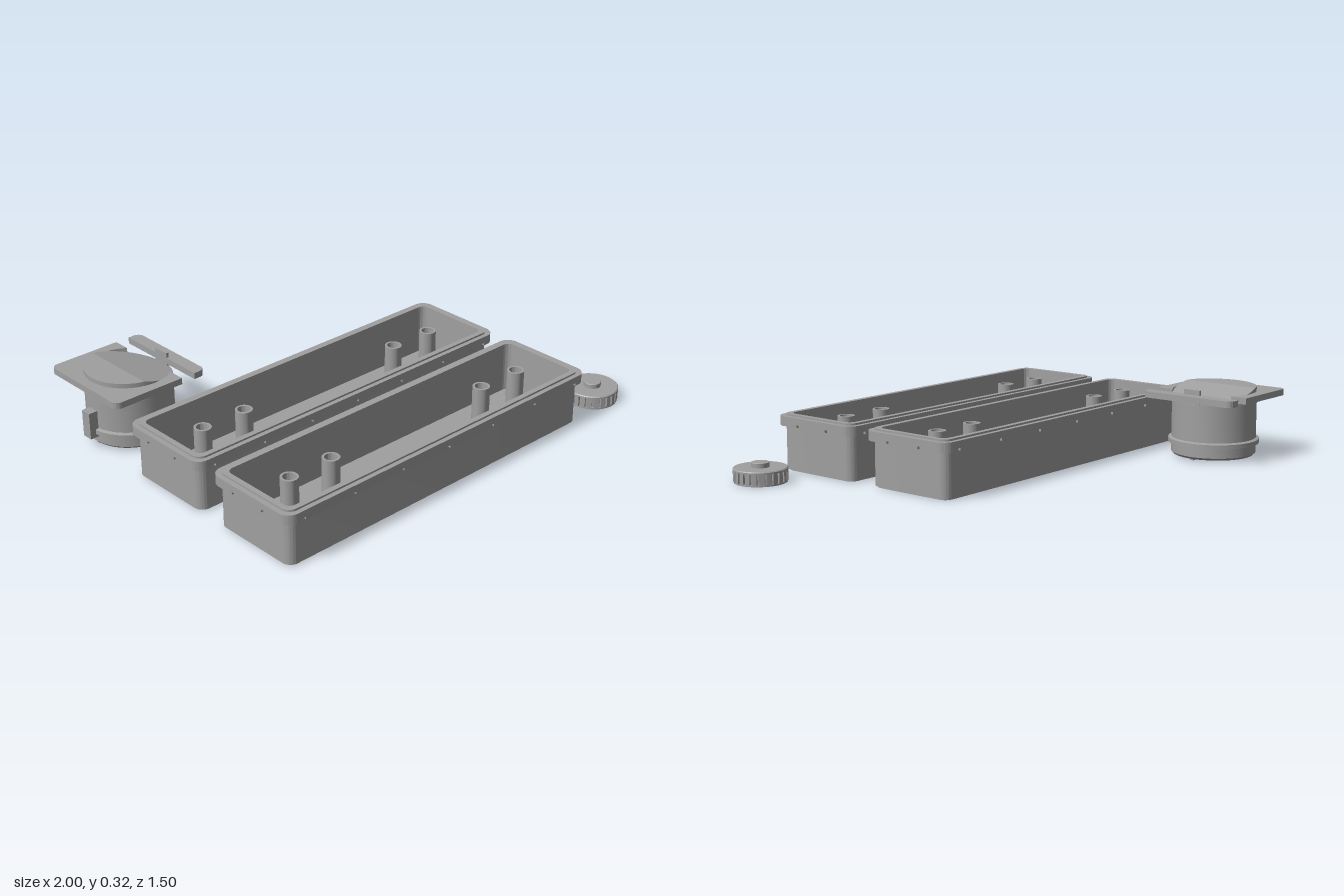
import * as THREE from 'three';
import { toCreasedNormals } from 'three/addons/utils/BufferGeometryUtils.js';

const grey = new THREE.MeshStandardMaterial({ color: 0xa0a0a0 });
grey.name = 'grey plastic';

function add(parent, name, geometry, x = 0, y = 0, z = 0) {
  const mesh = new THREE.Mesh(geometry, grey);
  mesh.name = name;
  mesh.position.set(x, y, z);
  parent.add(mesh);
  return mesh;
}

// Extrudes a plan shape upwards from y0 to y1
function slab(shape, y0, y1) {
  const g = new THREE.ExtrudeGeometry(shape, { depth: y1 - y0, bevelEnabled: false, curveSegments: 24 });
  g.rotateX(-Math.PI / 2);
  g.translate(0, y0, 0);
  return toCreasedNormals(g, 0.6);
}

// Rounded rectangle of half sizes a, b; square notches may be cut at given offsets
function roundRect(a, b, r, notchX = [], notchY = [], C = THREE.Shape) {
  const s = new C(), w = 0.01, d = 0.012;
  s.moveTo(-a + r, -b);
  for (const n of notchX) s.lineTo(n - w, -b).lineTo(n - w, -b + d).lineTo(n + w, -b + d).lineTo(n + w, -b);
  s.lineTo(a - r, -b).absarc(a - r, -b + r, r, -Math.PI / 2, 0);
  for (const n of notchY) s.lineTo(a, n - w).lineTo(a - d, n - w).lineTo(a - d, n + w).lineTo(a, n + w);
  s.lineTo(a, b - r).absarc(a - r, b - r, r, 0, Math.PI / 2);
  for (const n of [...notchX].reverse()) s.lineTo(n + w, b).lineTo(n + w, b - d).lineTo(n - w, b - d).lineTo(n - w, b);
  s.lineTo(-a + r, b).absarc(-a + r, b - r, r, Math.PI / 2, Math.PI);
  for (const n of [...notchY].reverse()) s.lineTo(-a, n + w).lineTo(-a + d, n + w).lineTo(-a + d, n - w).lineTo(-a, n - w);
  s.lineTo(-a, -b + r).absarc(-a + r, -b + r, r, Math.PI, Math.PI * 1.5);
  return s;
}

function circle(x, y, r, C = THREE.Path) {
  return new C().absarc(x, y, r, 0, Math.PI * 2);
}

function slot(x0, x1, z, r = 0.01) {
  const p = new THREE.Path();
  p.moveTo(x0, z - r).lineTo(x1, z - r).absarc(x1, z, r, -Math.PI / 2, Math.PI / 2);
  p.lineTo(x0, z + r).absarc(x0, z, r, Math.PI / 2, Math.PI * 1.5);
  return p;
}

const lathe = (points, n = 64) =>
  toCreasedNormals(new THREE.LatheGeometry(points.map(([r, y]) => new THREE.Vector2(r, y)), n), 0.5);

function makeTray(z) {
  const cx = -0.155, tray = new THREE.Group();
  tray.name = 'tray';
  tray.position.set(cx, 0, z);
  const inner = () => roundRect(0.8, 0.18, 0.03, [], [], THREE.Path);
  const ring = (shape) => { shape.holes.push(inner()); return shape; };
  const drain = () => circle(0.56, 0, 0.042);

  // Underside with shallow slots, then the closed floor above it
  const under = roundRect(0.812, 0.196, 0.035);
  under.holes.push(drain());
  for (const s of [-1, 1]) under.holes.push(slot(-0.65, 0.42, s * 0.12), slot(0.65, 0.71, s * 0.1));
  add(tray, 'underside', slab(under, 0.002, 0.012));
  const floor = roundRect(0.81, 0.19, 0.035);
  floor.holes.push(drain());
  add(tray, 'floor', slab(floor, 0.012, 0.025));

  // Walls and stepped rim
  add(tray, 'walls', slab(ring(roundRect(0.823, 0.205, 0.04)), 0.01, 0.235));
  const notches = [-0.765, -0.51, -0.255, 0, 0.255, 0.51, 0.765];
  add(tray, 'notchedRim', slab(ring(roundRect(0.845, 0.224, 0.05, notches, [-0.085, 0.085])), 0.2, 0.212));
  add(tray, 'rim', slab(ring(roundRect(0.845, 0.224, 0.05)), 0.212, 0.242));
  add(tray, 'rimLip', slab(ring(roundRect(0.823, 0.204, 0.04)), 0.242, 0.25));

  // Hollow screw posts
  for (const x of [-0.795, -0.58, 0.275, 0.49]) {
    const post = lathe([[0.037, 0.02], [0.037, 0.238], [0.027, 0.238], [0.027, 0.03], [0, 0.03]], 32);
    add(tray, 'post', post, x - cx);
  }
  return tray;
}

function makeSpout() {
  const spout = new THREE.Group(), R = 0.186;
  spout.name = 'spout';
  spout.position.set(-0.772, 0, -0.525);

  // Hollow barrel, open underneath, with a collar near the mouth
  add(spout, 'barrel', lathe([
    [0, 0.24], [0.165, 0.24], [0.165, 0.012], [0.178, 0.012], [0.188, 0.022], [0.188, 0.065],
    [0.202, 0.065], [0.202, 0.085], [0.188, 0.09], [0.188, 0.256], [0, 0.256],
  ].map(([r, y]) => [r, y])));
  add(spout, 'crossBar', new THREE.BoxGeometry(0.35, 0.04, 0.016), 0, 0.025, 0);
  add(spout, 'clip', new THREE.BoxGeometry(0.045, 0.12, 0.05), -0.205, 0.11, 0);

  // Square plate, open on one side around the ramp
  const a = Math.acos(0.107 / R), b = 0.23, r = 0.03;
  const plate = new THREE.Shape();
  plate.moveTo(0.107, b).lineTo(-b + r, b).absarc(-b + r, b - r, r, Math.PI / 2, Math.PI);
  plate.lineTo(-b, -b + r).absarc(-b + r, -b + r, r, Math.PI, Math.PI * 1.5);
  plate.lineTo(0.107, -b).lineTo(0.107, -Math.sin(a) * R);
  plate.absarc(0, 0, R, -a, a, true);
  add(spout, 'plate', slab(plate, 0.27, 0.298));

  // Raised disc: level part, then a ramp falling to the barrel top
  const chord = -0.05, c = Math.acos(chord / R);
  const level = new THREE.Shape().absarc(0, 0, R, c, Math.PI * 2 - c);
  add(spout, 'levelDisc', slab(level, 0.25, 0.318));
  const ramp = slab(new THREE.Shape().absarc(0, 0, R, -c, c), 0.25, 0.318);
  const p = ramp.attributes.position;
  for (let i = 0; i < p.count; i++) {
    if (p.getY(i) > 0.3) p.setY(i, 0.318 - 0.06 * (p.getX(i) - chord) / (R - chord));
  }
  ramp.computeVertexNormals();
  add(spout, 'ramp', toCreasedNormals(ramp, 0.6));

  // Separate edge strip with a short fin
  const strip = new THREE.Shape();
  strip.moveTo(0.172, -b).lineTo(b - r, -b).absarc(b - r, -b + r, r, -Math.PI / 2, 0);
  strip.lineTo(b, b - r).absarc(b - r, b - r, r, 0, Math.PI / 2).lineTo(0.172, b);
  add(spout, 'edgeStrip', slab(strip, 0.27, 0.298));
  add(spout, 'fin', new THREE.BoxGeometry(0.012, 0.065, 0.08), 0.178, 0.2875, 0);
  return spout;
}

function makeKnob() {
  const knob = new THREE.Group(), n = 24, outline = new THREE.Shape();
  knob.name = 'knob';
  knob.position.set(0.885, 0, 0.635);
  // Fluted grip
  for (let i = 0; i < n; i++) {
    [[0, 0.115], [0.65, 0.115], [0.7, 0.106], [0.95, 0.106]].forEach(([f, rad], k) => {
      const t = (i + f) / n * Math.PI * 2, x = Math.cos(t) * rad, y = Math.sin(t) * rad;
      if (i + k === 0) outline.moveTo(x, y); else outline.lineTo(x, y);
    });
  }
  add(knob, 'grip', slab(outline, 0.008, 0.056));
  add(knob, 'base', slab(circle(0, 0, 0.112, THREE.Shape), 0.002, 0.01));
  add(knob, 'crown', lathe([[0.115, 0.054], [0.115, 0.061], [0.111, 0.065], [0, 0.065]]));
  add(knob, 'boss', lathe([[0.038, 0.06], [0.038, 0.084], [0.036, 0.086], [0, 0.086]], 32));
  return knob;
}

export function createModel() {
  const model = new THREE.Group();
  model.name = 'trayKit';
  model.add(makeTray(0), makeTray(0.525), makeSpout(), makeKnob());
  return model;
}
